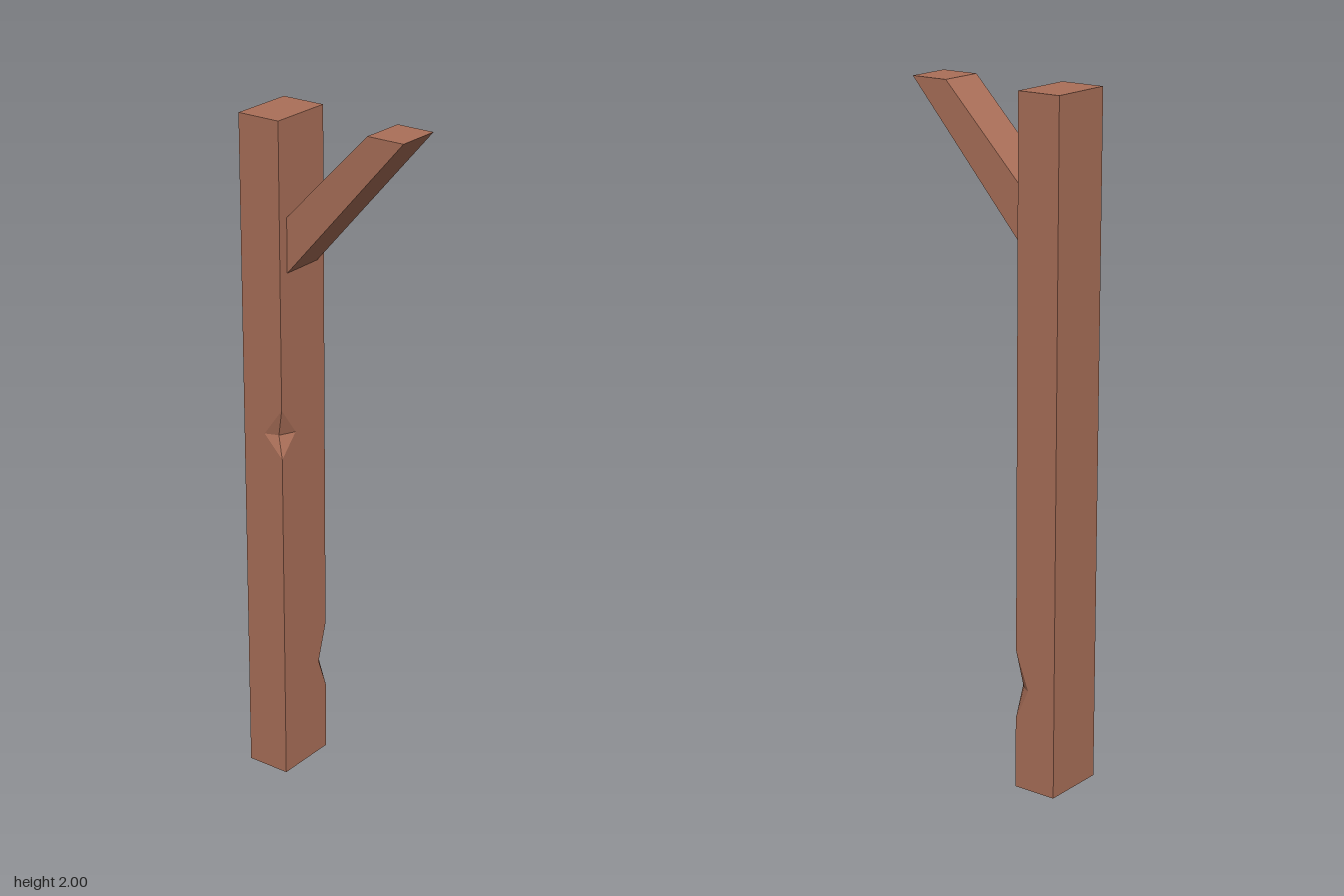
import * as THREE from 'three';

const bark = new THREE.MeshStandardMaterial({ color: 0xab7059 });
bark.name = 'reddish brown wood';

// Post corners; the post leans very slightly towards -x as it rises
const X0 = -0.254, X1 = -0.12, Z0 = -0.098, Z1 = 0.098;
const v = (x, y, z) => new THREE.Vector3(x - 0.0025 * y, y, z);

// Chipped notch on a +x vertical edge: a = reach across x, b = reach across z
function notch(z, yLow, yMid, yHigh, a, b, innerA, innerB) {
  const s = -Math.sign(z);
  return {
    low: v(X1, yLow, z),
    high: v(X1, yHigh, z),
    onFace: v(X1 - a, yMid, z),
    onSide: v(X1, yMid, z + s * b),
    inner: v(X1 - innerA, yMid, z + s * innerB),
  };
}

function buildPost() {
  const points = [];
  // Flat polygon, counter-clockwise in the 2D projection given
  const face = (corners, project) => {
    const flat = corners.map((c) => new THREE.Vector2(...project(c)));
    for (const tri of THREE.ShapeUtils.triangulateShape(flat, [])) {
      points.push(...tri.map((i) => corners[i]));
    }
  };
  const chip = (n, left, right) => points.push(
    left, n.inner, n.high, n.inner, right, n.high,
    left, n.low, n.inner, n.low, right, n.inner,
  );

  const ring = (y) => [v(X0, y, Z1), v(X1, y, Z1), v(X1, y, Z0), v(X0, y, Z0)];
  const [a, b, c, d] = ring(0);
  const [A, B, C, D] = ring(2);
  const f = notch(Z1, 1.02, 1.085, 1.17, 0.062, 0.062, 0.022, 0.014);
  const r = notch(Z0, 0.21, 0.305, 0.42, 0.043, 0.035, 0.018, 0.014);

  face([a, b, f.low, f.onFace, f.high, B, A], (p) => [p.x, p.y]);
  face([b, c, r.low, r.onSide, r.high, C, B, f.high, f.onSide, f.low], (p) => [-p.z, p.y]);
  face([c, d, D, C, r.high, r.onFace, r.low], (p) => [-p.x, p.y]);
  face([d, a, A, D], (p) => [p.z, p.y]);
  face([A, B, C, D], (p) => [p.x, -p.z]);
  face([d, c, b, a], (p) => [p.x, p.z]);
  chip(f, f.onFace, f.onSide);
  chip(r, r.onSide, r.onFace);

  const geometry = new THREE.BufferGeometry().setFromPoints(points);
  geometry.computeVertexNormals();
  return geometry;
}

// Slanted brace, cut level at the top and upright against the post
function buildBrace() {
  const outline = [[-0.127, 1.562], [0.258, 2], [0.143, 2], [-0.127, 1.722]];
  const shape = new THREE.Shape(outline.map(([x, y]) => new THREE.Vector2(x, y)));
  return new THREE.ExtrudeGeometry(shape, { depth: 0.134, bevelEnabled: false })
    .translate(0, 0, -0.068);
}

export function createModel() {
  const group = new THREE.Group();
  group.name = 'woodenPost';
  const add = (name, geometry) => {
    const mesh = new THREE.Mesh(geometry, bark);
    mesh.name = name;
    group.add(mesh);
  };
  add('post', buildPost());
  add('brace', buildBrace());
  return group;
}
